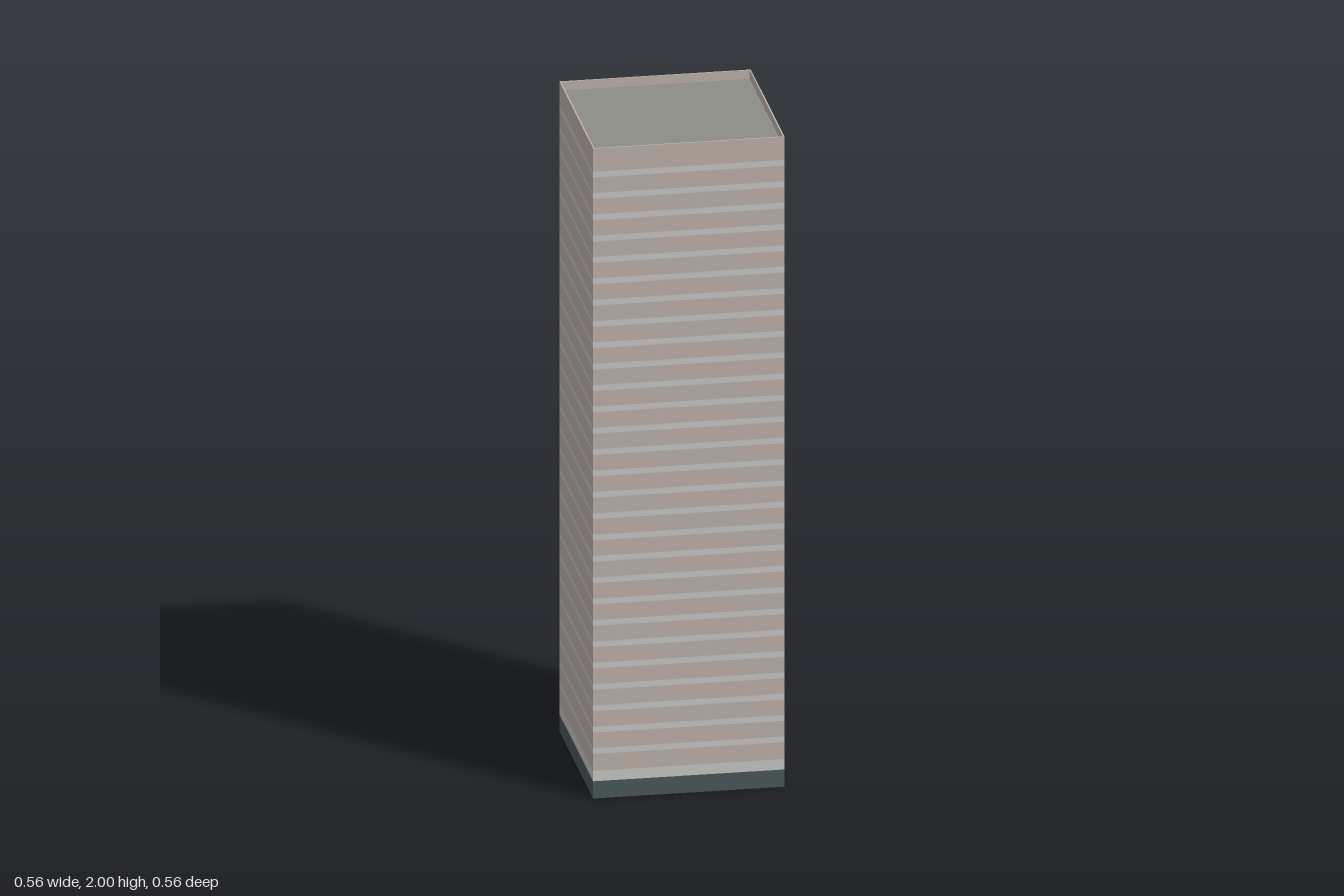
import * as THREE from 'three';
import { mergeGeometries } from 'three/addons/utils/BufferGeometryUtils.js';

const HALF = 0.28;          // half width of the tower
const BASE_TOP = 0.053;     // top of the dark plinth
const LOBBY_TOP = 0.085;    // top of the tall ground floor glazing
const PITCH = 0.0657;       // floor to floor height
const FIRST = 0.146;        // centre of the lowest window band
const FLOORS = 28;
const BAND = 0.0175;        // window band height
const RIM = 0.004;          // parapet thickness
const ROOF_Y = 1.973;

function makeMaterial(name, color) {
  const m = new THREE.MeshStandardMaterial({ color, side: THREE.DoubleSide });
  m.name = name;
  return m;
}

// Four upright faces between two heights, open above and below
function ring(y0, y1, half = HALF) {
  const r = half * Math.SQRT2;
  const g = new THREE.CylinderGeometry(r, r, y1 - y0, 4, 1, true).toNonIndexed();
  g.rotateY(Math.PI / 4);
  g.translate(0, (y0 + y1) / 2, 0);
  g.computeVertexNormals();
  return g;
}

export function createModel() {
  const group = new THREE.Group();
  group.name = 'officeTower';
  const concrete = makeMaterial('pinkConcrete', 0xc1b4ad);
  const glass = makeMaterial('paleGlass', 0xc9cac8);
  const plinth = makeMaterial('darkPlinth', 0x4a5959);
  const roofing = makeMaterial('greyRoofing', 0x8c8d85);

  const add = (name, geometry, material) => {
    const mesh = new THREE.Mesh(geometry, material);
    mesh.name = name;
    group.add(mesh);
  };

  // Alternating wall and window bands
  const walls = [];
  const windows = [ring(BASE_TOP, LOBBY_TOP)];
  let y = LOBBY_TOP;
  for (let i = 0; i < FLOORS; i++) {
    const low = FIRST + i * PITCH - BAND / 2;
    walls.push(ring(y, low));
    windows.push(ring(low, low + BAND));
    y = low + BAND;
  }
  walls.push(ring(y, 2));

  add('plinth', ring(0, BASE_TOP), plinth);
  add('wallBands', mergeGeometries(walls), concrete);
  add('windowBands', mergeGeometries(windows), glass);

  // Parapet: inner faces and a narrow flat top
  const inner = HALF - RIM;
  add('parapetInside', ring(ROOF_Y, 2, inner), concrete);
  const cap = new THREE.Shape();
  cap.moveTo(-HALF, -HALF).lineTo(HALF, -HALF).lineTo(HALF, HALF).lineTo(-HALF, HALF).closePath();
  const hole = new THREE.Path();
  hole.moveTo(-inner, -inner).lineTo(-inner, inner).lineTo(inner, inner).lineTo(inner, -inner).closePath();
  cap.holes.push(hole);
  add('parapetTop', new THREE.ShapeGeometry(cap).rotateX(-Math.PI / 2).translate(0, 2, 0), concrete);

  // Sunken flat roof
  add('roof', new THREE.PlaneGeometry(inner * 2, inner * 2).rotateX(-Math.PI / 2).translate(0, ROOF_Y, 0), roofing);

  return group;
}
